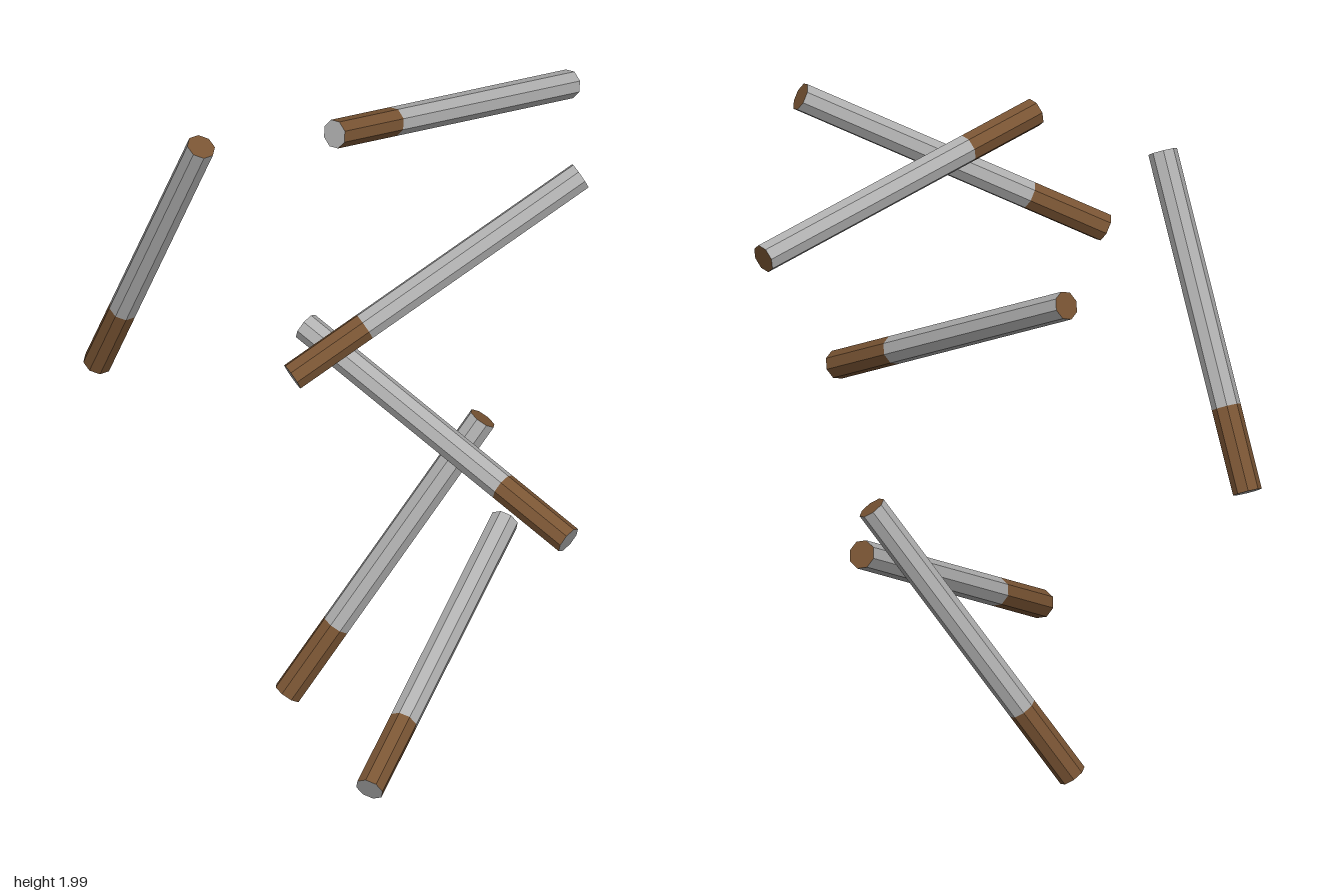
import * as THREE from 'three';

const RADIUS = 0.042;
const LENGTH = 1;
const GRIP = 0.25;

// Each stick: centre of the grip end, then centre of the shaft end
const STICKS = [
  [[-0.685, 0.98, -0.645], [-0.48, 1.885, -0.255]],
  [[-0.13, 1.96, -0.1], [0.695, 1.715, -0.61]],
  [[-0.375, 1.457, 0.36], [0.505, 1.918, 0.235]],
  [[0.36, 0.975, 0.65], [-0.225, 1.365, -0.06]],
  [[-0.22, 0.033, -0.28], [0.352, 0.85, -0.28]],
  [[-0.225, 0.24, 0.65], [0.36, 0.64, -0.06]],
];

export function createModel() {
  const grey = new THREE.MeshStandardMaterial({ color: 0xb0b0b0 });
  const brown = new THREE.MeshStandardMaterial({ color: 0x7a5534 });
  grey.name = 'shaftGrey';
  brown.name = 'gripBrown';

  // Octagonal prism with hard edges, spanning y0..y1 along the stick axis
  const prism = (y0, y1) => {
    const g = new THREE.CylinderGeometry(RADIUS, RADIUS, y1 - y0, 8).toNonIndexed();
    g.computeVertexNormals();
    return g.translate(0, (y0 + y1) / 2, 0);
  };
  const gripGeometry = prism(-LENGTH / 2, GRIP - LENGTH / 2);
  const shaftGeometry = prism(GRIP - LENGTH / 2, LENGTH / 2);

  const model = new THREE.Group();
  model.name = 'sticks';
  const up = new THREE.Vector3(0, 1, 0);

  STICKS.forEach(([a, b], i) => {
    const start = new THREE.Vector3(...a);
    const end = new THREE.Vector3(...b);
    const stick = new THREE.Group();
    stick.name = `stick${i + 1}`;

    // Materials: side, top cap, bottom cap; the end caps carry the opposite colour
    const grip = new THREE.Mesh(gripGeometry, [brown, brown, grey]);
    grip.name = 'grip';
    const shaft = new THREE.Mesh(shaftGeometry, [grey, brown, grey]);
    shaft.name = 'shaft';
    stick.add(grip, shaft);

    stick.position.addVectors(start, end).multiplyScalar(0.5);
    stick.quaternion.setFromUnitVectors(up, end.sub(start).normalize());
    model.add(stick);
  });
  return model;
}
